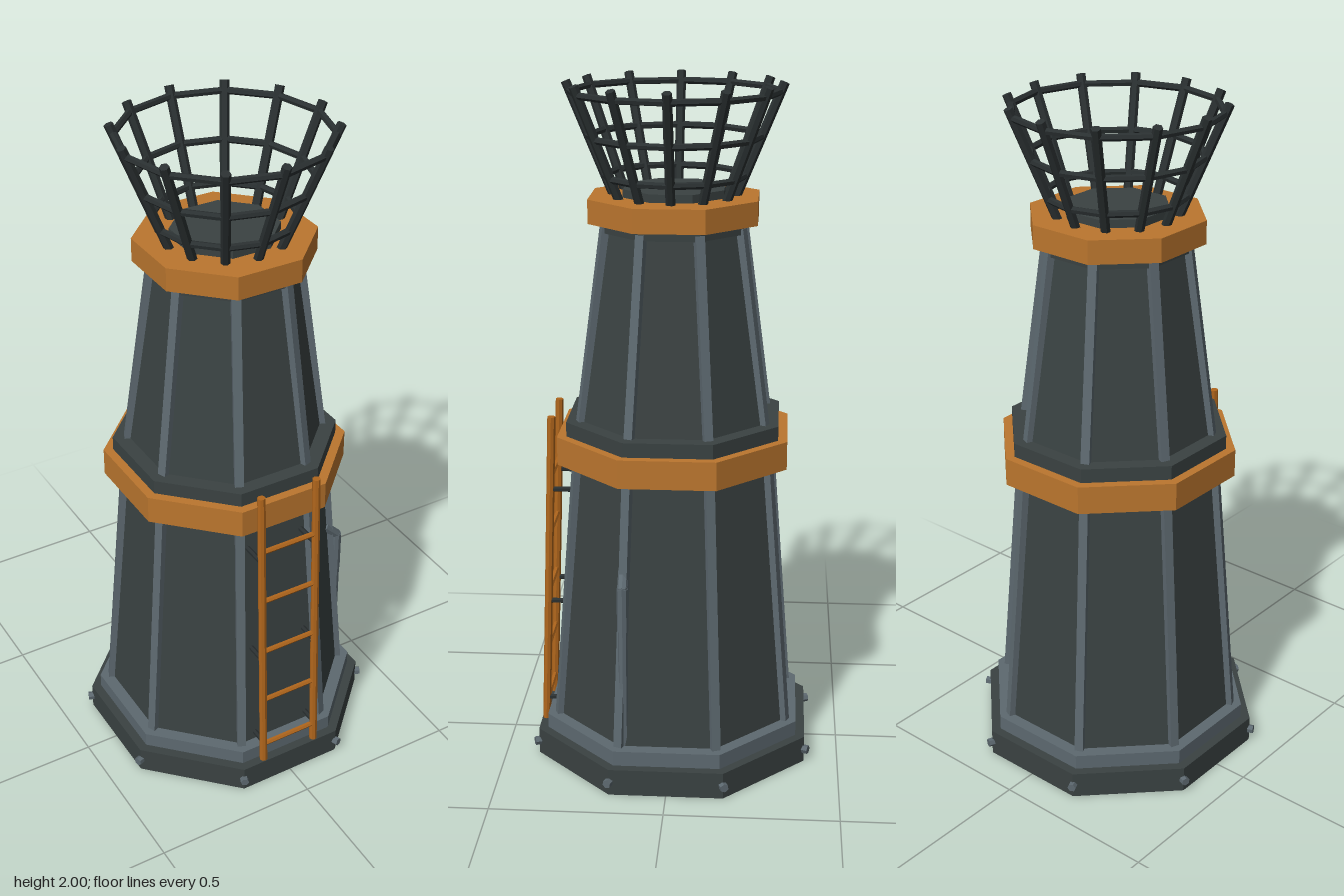
import * as THREE from 'three';

const mat = (name, color) => {
  const m = new THREE.MeshStandardMaterial({ color, flatShading: true });
  m.name = name;
  return m;
};

export function createModel() {
  const iron = mat('dark iron', 0x3a4242);
  const slate = mat('slate trim', 0x5d6970);
  const black = mat('black iron', 0x2a3031);
  const copper = mat('copper band', 0xbb762e);
  const wood = mat('ladder wood', 0xb0661c);
  const tower = new THREE.Group();
  tower.name = 'beaconTower';
  const V = (x, y, z) => new THREE.Vector3(x, y, z);
  const polar = (r, y, a) => V(r * Math.sin(a), y, r * Math.cos(a));
  const C = Math.cos(Math.PI / 8);

  const add = (name, geo, material, parent = tower) => {
    const m = new THREE.Mesh(geo, material);
    m.name = name;
    parent.add(m);
    return m;
  };
  // Octagonal tier with flat sides facing the axes, sized by half-width
  const tier = (name, y0, y1, a0, a1, material) => {
    const g = new THREE.CylinderGeometry(a1 / C, a0 / C, y1 - y0, 8);
    g.rotateY(Math.PI / 8).translate(0, (y0 + y1) / 2, 0);
    add(name, g, material);
  };
  // Straight bar between two points
  const bar = (name, p, q, r, sides, material, parent = tower) => {
    const d = q.clone().sub(p);
    const m = add(name, new THREE.CylinderGeometry(r, r, d.length(), sides), material, parent);
    m.position.copy(p).add(q).multiplyScalar(0.5);
    m.quaternion.setFromUnitVectors(V(0, 1, 0), d.normalize());
  };
  // Square-section rib lying along a tower corner, leaning inwards
  const rib = (name, a, r0, y0, r1, y1) => {
    const pivot = new THREE.Group();
    pivot.rotation.y = a;
    tower.add(pivot);
    const m = add(name, new THREE.BoxGeometry(0.026, Math.hypot(r1 - r0, y1 - y0), 0.026), slate, pivot);
    m.position.set(0, (y0 + y1) / 2, (r0 + r1) / 2);
    m.rotation.x = Math.atan2(r1 - r0, y1 - y0);
  };

  // Stacked tiers
  tier('base', 0, 0.08, 0.4, 0.4, iron);
  tier('plinth', 0.08, 0.125, 0.373, 0.373, slate);
  tier('lowerBody', 0.125, 0.95, 0.337, 0.27, iron);
  tier('lowerBand', 0.917, 1.0, 0.33, 0.33, copper);
  tier('ledge', 1.0, 1.042, 0.304, 0.304, iron);
  tier('upperBody', 1.042, 1.59, 0.262, 0.187, iron);
  tier('collar', 1.585, 1.615, 0.2, 0.2, iron);
  tier('upperBand', 1.612, 1.68, 0.236, 0.236, copper);
  tier('firePlate', 1.68, 1.703, 0.141, 0.141, iron);

  // Corner ribs and base bolts
  for (let i = 0; i < 8; i++) {
    const a = Math.PI / 8 + i * Math.PI / 4;
    rib('lowerRib', a, 0.365, 0.115, 0.296, 0.93);
    rib('upperRib', a, 0.284, 1.03, 0.204, 1.6);
    bar('baseBolt', polar(0.42, 0.04, a), polar(0.446, 0.04, a), 0.013, 6, slate);
  }

  // Flared fire basket
  const basket = new THREE.Group();
  basket.name = 'fireBasket';
  tower.add(basket);
  const flare = y => 0.172 + (y - 1.675) * 0.412;
  for (let i = 0; i < 12; i++) {
    const a = i * Math.PI / 6, b = a + Math.PI / 6;
    bar('basketBar', polar(flare(1.675), 1.675, a), polar(flare(1.993), 1.993, a), 0.0135, 6, black, basket);
    for (const y of [1.735, 1.845, 1.967])
      bar('basketHoop', polar(flare(y), y, a), polar(flare(y), y, b), 0.01, 6, black, basket);
  }

  // Leaning ladder with standoffs
  const ladder = new THREE.Group();
  ladder.name = 'ladder';
  tower.add(ladder);
  const lean = y => 0.387 - (y - 0.08) * 0.037;
  for (const x of [-0.09, 0.09]) {
    bar('ladderRail', V(x, 0.08, lean(0.08)), V(x, 1.047, lean(1.047)), 0.012, 8, wood, ladder);
    for (const y of [0.15, 0.47, 0.825])
      bar('ladderStandoff', V(x, y, 0.26), V(x, y, lean(y)), 0.008, 6, black, ladder);
  }
  for (const y of [0.14, 0.315, 0.5, 0.685, 0.86])
    bar('ladderRung', V(-0.09, y, lean(y)), V(0.09, y, lean(y)), 0.008, 6, wood, ladder);

  // Side pipe with an elbow into the wall
  const pipe = new THREE.Group();
  pipe.name = 'sidePipe';
  tower.add(pipe);
  bar('pipeRun', V(0.325, 0.12, 0.127), V(0.325, 0.62, 0.127), 0.014, 8, slate, pipe);
  bar('pipeElbow', V(0.326, 0.612, 0.127), V(0.278, 0.66, 0.127), 0.015, 8, slate, pipe);
  bar('pipeSleeve', V(0.324, 0.485, 0.127), V(0.324, 0.615, 0.127), 0.0165, 8, slate, pipe);
  return tower;
}
